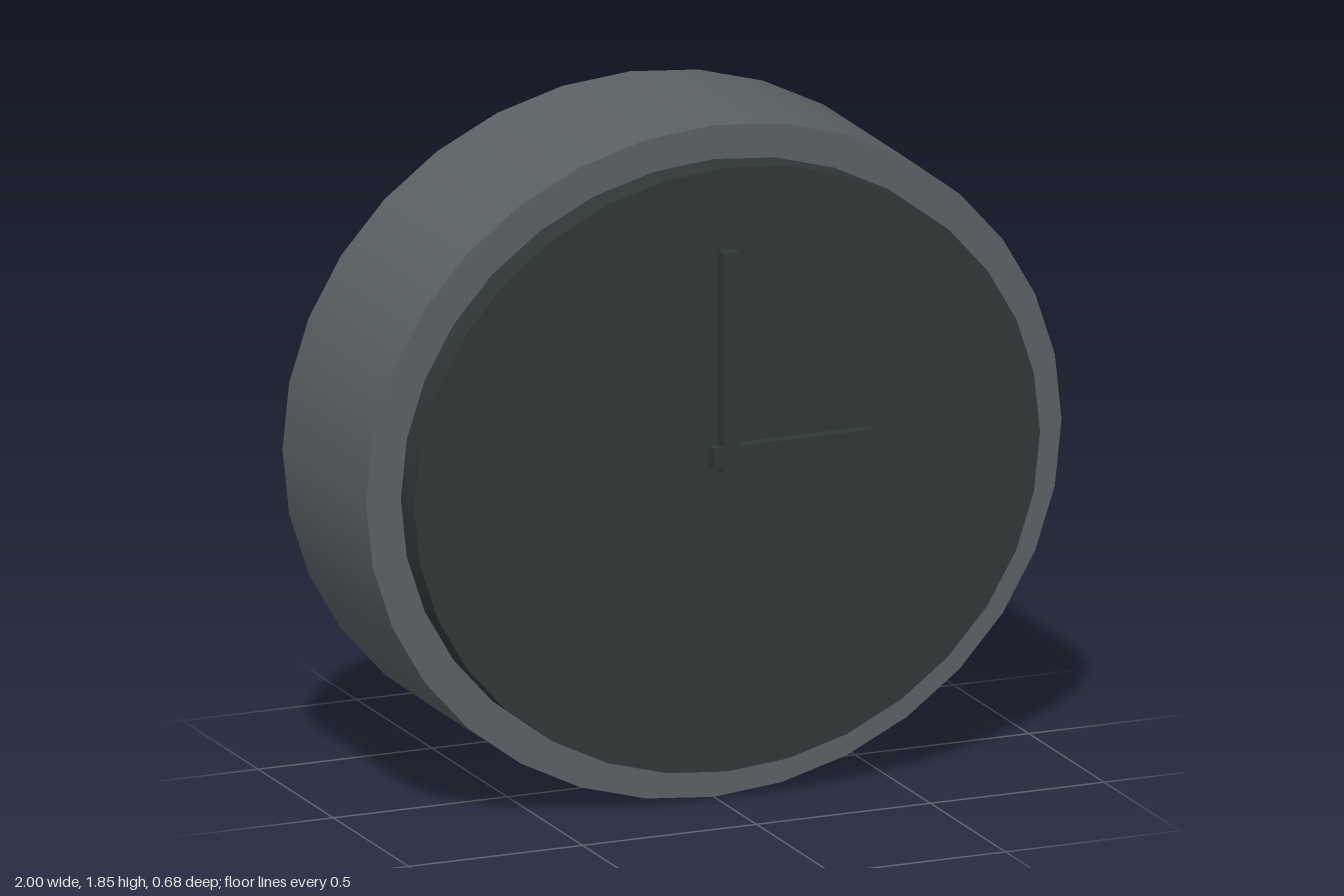
import * as THREE from 'three';

const CENTER_Y = 0.923;

export function createModel() {
  const group = new THREE.Group();
  const caseGrey = new THREE.MeshStandardMaterial({ color: 0x5a6164 });
  caseGrey.name = 'case grey';
  const dialGrey = new THREE.MeshStandardMaterial({ color: 0x303837 });
  dialGrey.name = 'dial dark grey';

  const add = (name, geometry, material) => {
    const mesh = new THREE.Mesh(geometry, material);
    mesh.name = name;
    group.add(mesh);
  };

  // Slightly flattened disc facing +z, from z = back to z = front
  const disc = (rx, ry, back, front) =>
    new THREE.CylinderGeometry(1, 1, front - back, 32)
      .rotateX(Math.PI / 2)
      .scale(rx, ry, 1)
      .translate(0, CENTER_Y, (back + front) / 2);

  // Flat bar standing on the dial
  const bar = (x0, x1, y0, y1, front) =>
    new THREE.BoxGeometry(x1 - x0, y1 - y0, front - 0.3)
      .translate((x0 + x1) / 2, (y0 + y1) / 2, (front + 0.3) / 2);

  // Case and raised dial
  add('case', disc(1, CENTER_Y, -0.338, 0.217), caseGrey);
  add('dial', disc(0.9, 0.83, 0.2, 0.305), dialGrey);

  // Hands at three o'clock
  add('minuteHand', bar(-0.024, 0.024, 0.921, 1.527, 0.338), dialGrey);
  add('hourHand', bar(-0.053, 0.408, 0.937, 0.995, 0.337), dialGrey);

  return group;
}
